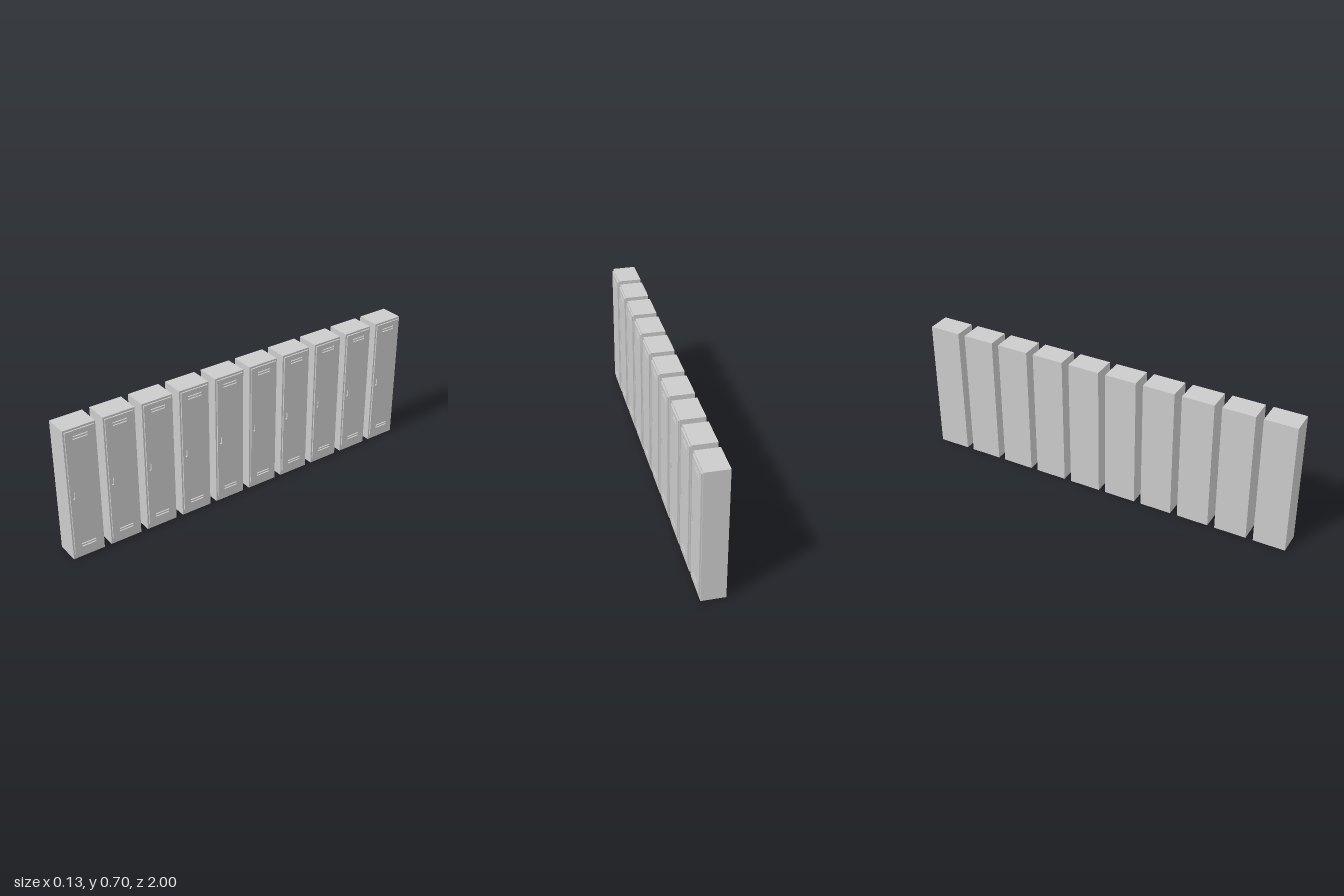
import * as THREE from 'three';

const COUNT = 10, WIDTH = 0.166, HEIGHT = 0.7;
const BACK = -0.064, FACE = 0.056, DOOR_THICKNESS = 0.007;
const material = new THREE.MeshStandardMaterial({ color: 0xcccccc, flatShading: true });

// Rectangular opening centred on (x, y)
function slot(x, y, w, h) {
  const p = new THREE.Path();
  p.moveTo(x - w / 2, y - h / 2);
  p.lineTo(x - w / 2, y + h / 2);
  p.lineTo(x + w / 2, y + h / 2);
  p.lineTo(x + w / 2, y - h / 2);
  p.closePath();
  return p;
}

// Upright opening with rounded ends
function roundedSlot(x, y, w, h) {
  const r = w / 2, d = h / 2 - r;
  const p = new THREE.Path();
  p.absarc(x, y + d, r, 0, Math.PI, false);
  p.absarc(x, y - d, r, Math.PI, Math.PI * 2, false);
  p.closePath();
  return p;
}

// Door panel with vents and handle opening, turned to face +x
function doorGeometry() {
  const half = WIDTH / 2 - 0.008;
  const shape = new THREE.Shape();
  shape.moveTo(-half, 0.03);
  shape.lineTo(half, 0.03);
  shape.lineTo(half, 0.69);
  shape.lineTo(-half, 0.69);
  shape.closePath();
  for (const y of [0.062, 0.076, 0.648, 0.662]) shape.holes.push(slot(0, y, 0.075, 0.007));
  shape.holes.push(roundedSlot(-0.057, 0.353, 0.012, 0.04));
  const geometry = new THREE.ExtrudeGeometry(shape, {
    depth: DOOR_THICKNESS, bevelEnabled: false, curveSegments: 6,
  });
  return geometry.rotateY(Math.PI / 2).translate(FACE, 0, 0);
}

export function createModel() {
  const model = new THREE.Group();
  model.name = 'lockerRow';
  const bodyGeo = new THREE.BoxGeometry(FACE - BACK, HEIGHT, WIDTH)
    .translate((FACE + BACK) / 2, HEIGHT / 2, 0);
  const doorGeo = doorGeometry();

  // Evenly spaced lockers along z
  const pitch = (2 - WIDTH) / (COUNT - 1);
  for (let i = 0; i < COUNT; i++) {
    const locker = new THREE.Group();
    locker.name = `locker${i + 1}`;
    const body = new THREE.Mesh(bodyGeo, material);
    body.name = 'lockerBody';
    const door = new THREE.Mesh(doorGeo, material);
    door.name = 'lockerDoor';
    locker.add(body, door);
    locker.position.z = -1 + WIDTH / 2 + i * pitch;
    model.add(locker);
  }
  return model;
}
